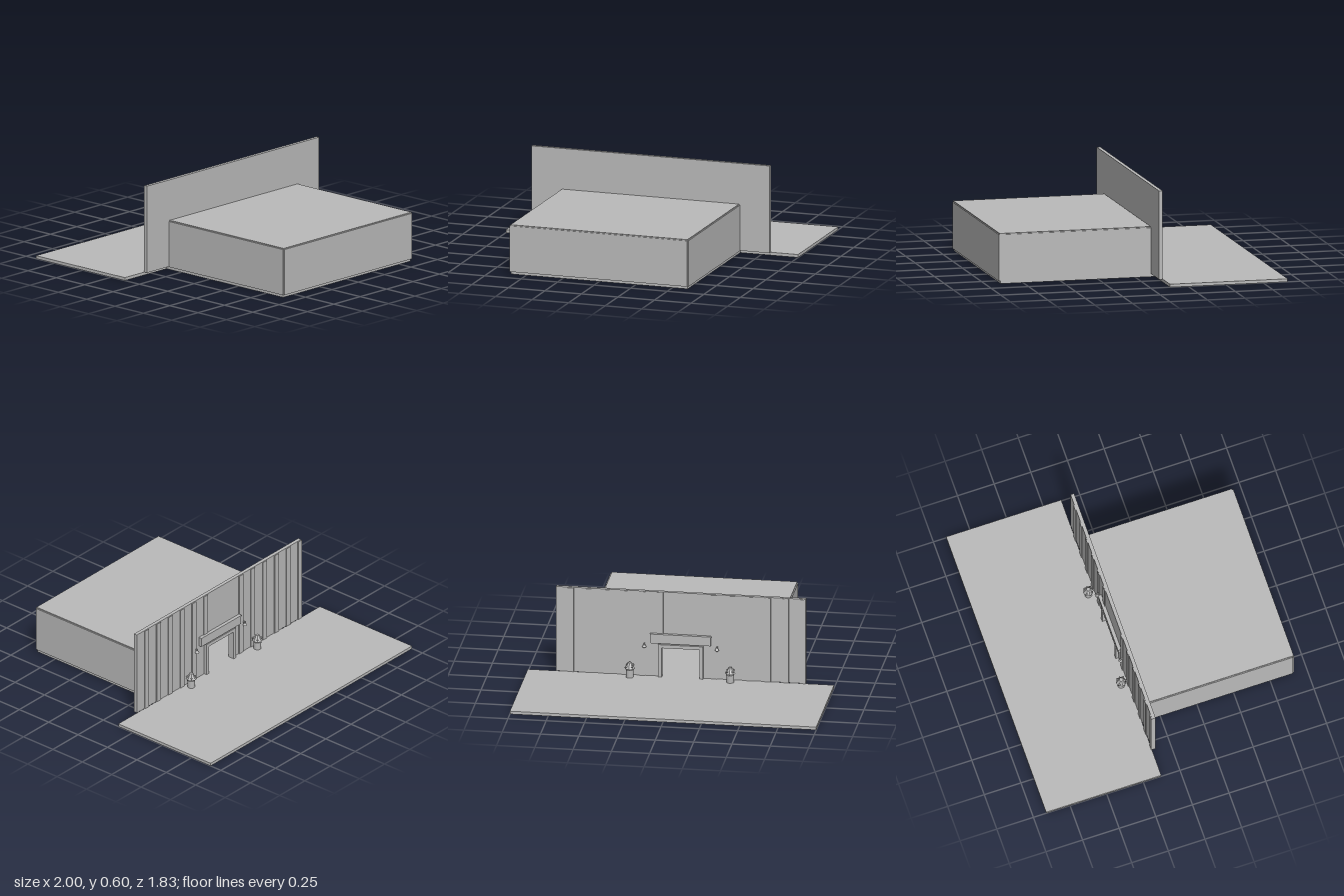
import * as THREE from 'three';

export function createModel() {
  const model = new THREE.Group();
  const grey = new THREE.MeshStandardMaterial({ color: 0xbababa });
  grey.name = 'plain grey';

  const add = (name, geometry, x = 0, y = 0, z = 0, parent = model) => {
    const mesh = new THREE.Mesh(geometry, grey);
    mesh.name = name;
    mesh.position.set(x, y, z);
    parent.add(mesh);
    return mesh;
  };
  // Box given by its lower and upper corners
  const block = (name, x0, x1, y0, y1, z0, z1, parent) =>
    add(name, new THREE.BoxGeometry(x1 - x0, y1 - y0, z1 - z0),
      (x0 + x1) / 2, (y0 + y1) / 2, (z0 + z1) / 2, parent);

  // Ground slabs, forming a T
  block('forecourt', -1, 1, 0, 0.02, -0.913, -0.128);
  block('hallFloor', -0.605, 0.605, 0, 0.02, -0.128, 0.9);

  // Hollow hall with thin walls and roof
  block('endWall', -0.605, 0.605, 0.018, 0.323, 0.9, 0.912);
  for (const s of [-1, 1]) {
    const x = s * 0.606;
    block('sideWall', x - 0.006, x + 0.006, 0.018, 0.323, -0.1, 0.904);
  }
  block('roof', -0.605, 0.605, 0.318, 0.33, -0.1, 0.906);

  // Tall facade with a doorway
  const outline = new THREE.Shape([
    [-0.815, 0.02], [-0.125, 0.02], [-0.125, 0.225], [0.125, 0.225],
    [0.125, 0.02], [0.815, 0.02], [0.815, 0.6], [-0.815, 0.6],
  ].map(([x, y]) => new THREE.Vector2(x, y)));
  add('facade', new THREE.ExtrudeGeometry(outline, { depth: 0.024, bevelEnabled: false }), 0, 0, -0.127);

  // Raised facade battens, leaving the bay over the door plain
  for (let i = 0; i < 14; i++) {
    const x = 0.72 - i * 0.117;
    if (Math.abs(x + 0.04) < 0.1) continue;
    const bottom = Math.abs(x) < 0.15 ? 0.24 : 0.02;
    const left = Math.max(x - 0.02, -0.815);
    block('batten', left, x + 0.02, bottom, 0.597, -0.133, -0.126);
  }

  // Door surround and sign board
  const entrance = new THREE.Group();
  entrance.name = 'entrance';
  model.add(entrance);
  for (const s of [-1, 1]) {
    block('doorJamb', s * 0.135 - 0.012, s * 0.135 + 0.012, 0.02, 0.235, -0.147, -0.105, entrance);
  }
  block('doorLintel', -0.147, 0.147, 0.22, 0.243, -0.147, -0.105, entrance);
  block('signBoard', -0.197, 0.197, 0.25, 0.31, -0.147, -0.127, entrance);
  block('signTopRail', -0.2, 0.2, 0.307, 0.314, -0.15, -0.127, entrance);

  // Wall lamps and potted shrubs on each side of the door
  for (const s of [-1, 1]) {
    const lamp = new THREE.Group();
    lamp.name = 'wallLamp';
    lamp.position.set(s * 0.237, 0, -0.145);
    model.add(lamp);
    block('lampArm', -0.004, 0.004, 0.238, 0.246, -0.004, 0.016, lamp);
    add('lampShade', new THREE.CylinderGeometry(0.006, 0.014, 0.016, 12), 0, 0.23, 0, lamp);
    add('lampBulb', new THREE.SphereGeometry(0.007, 10, 6), 0, 0.221, 0, lamp);

    const planter = new THREE.Group();
    planter.name = 'planter';
    planter.position.set(s * 0.328, 0, -0.172);
    model.add(planter);
    add('pot', new THREE.CylinderGeometry(0.026, 0.024, 0.052, 16), 0, 0.046, 0, planter);
    const shrub = new THREE.CylinderGeometry(0.013, 0.034, 0.04, 8).toNonIndexed();
    shrub.computeVertexNormals();
    add('shrub', shrub, 0, 0.1, 0, planter);
    // Leaves ringed around the shrub
    for (let i = 0; i < 8; i++) {
      const a = (i / 8) * Math.PI * 2;
      const leaf = add('leaf', new THREE.OctahedronGeometry(0.01),
        Math.cos(a) * 0.026, 0.083 + (i % 2) * 0.014, Math.sin(a) * 0.026, planter);
      leaf.rotation.y = -a;
    }
  }
  return model;
}
